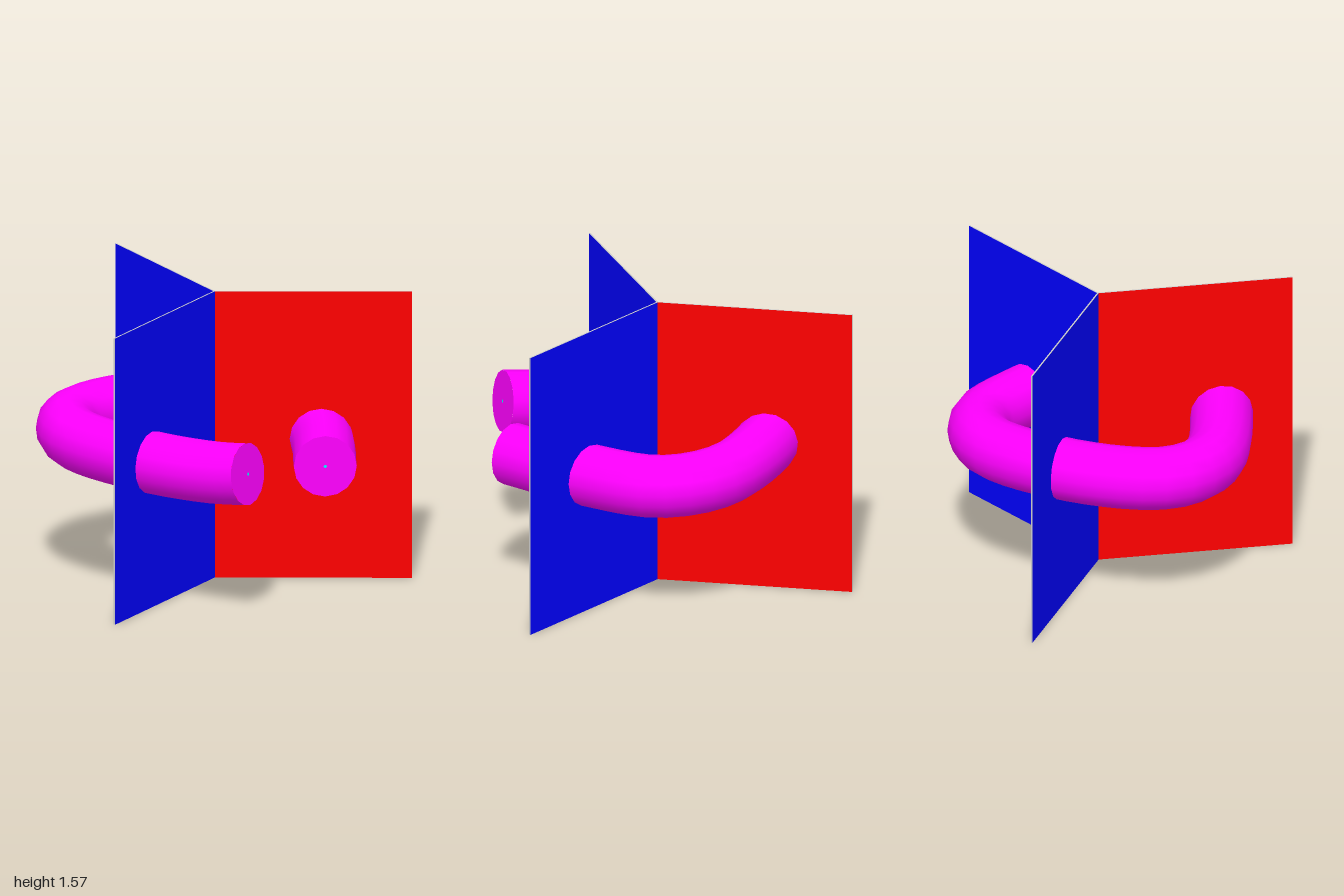
import * as THREE from 'three';

const paint = (color) => new THREE.MeshStandardMaterial({ color });

export function createModel() {
  const group = new THREE.Group();
  const red = paint(0xff0000), blue = paint(0x0000ff);
  const magenta = paint(0xff00ff), cyan = paint(0x00ffff), grey = paint(0xcccccc);

  const add = (parent, name, geometry, material) => {
    const mesh = new THREE.Mesh(geometry, material);
    mesh.name = name;
    parent.add(mesh);
    return mesh;
  };

  // Three upright panels meeting at a common axis, red on one face and blue on the other
  const length = 1.042, height = 1.568, thick = 0.008;
  for (let i = 0; i < 3; i++) {
    const panel = new THREE.Group();
    panel.name = 'panel' + (i + 1);
    panel.position.z = 0.042;
    panel.rotation.y = Math.PI / 2 + (i * Math.PI * 2) / 3;
    add(panel, 'panelCore', new THREE.BoxGeometry(length, height, thick), grey)
      .position.set(length / 2, height / 2, 0);
    for (const side of [1, -1]) {
      const face = add(panel, side > 0 ? 'redFace' : 'blueFace',
        new THREE.PlaneGeometry(length, height), side > 0 ? red : blue);
      face.position.set(length / 2, height / 2, side * (thick / 2 + 0.001));
      if (side < 0) face.rotation.y = Math.PI;
    }
    group.add(panel);
  }

  // Bent rod passing through all three panels
  const path = new THREE.CatmullRomCurve3([
    [0.2525, 0.757, 0.78], [0.494, 0.76, 0.31], [0.607, 0.77, -0.09],
    [0.445, 0.79, -0.385], [-0.18, 0.82, -0.563], [-0.58, 0.817, -0.463],
    [-0.71, 0.805, -0.2], [-0.578, 0.797, 0.36], [-0.386, 0.807, 0.76],
    [-0.298, 0.828, 0.92],
  ].map((p) => new THREE.Vector3(...p)));
  const radius = 0.166;
  add(group, 'bentRod', new THREE.TubeGeometry(path, 40, radius, 16), magenta);

  // Flat rod ends, each with a small centre mark
  for (const t of [0, 1]) {
    const out = path.getTangentAt(t).multiplyScalar(t ? 1 : -1);
    const disc = (name, r, sides, material, offset) => {
      const cap = add(group, name, new THREE.CircleGeometry(r, sides), material);
      cap.position.copy(path.getPointAt(t)).addScaledVector(out, offset);
      cap.lookAt(cap.position.clone().add(out));
    };
    disc('rodEnd', radius, 16, magenta, 0);
    disc('centreMark', 0.009, 8, cyan, 0.003);
  }
  return group;
}
